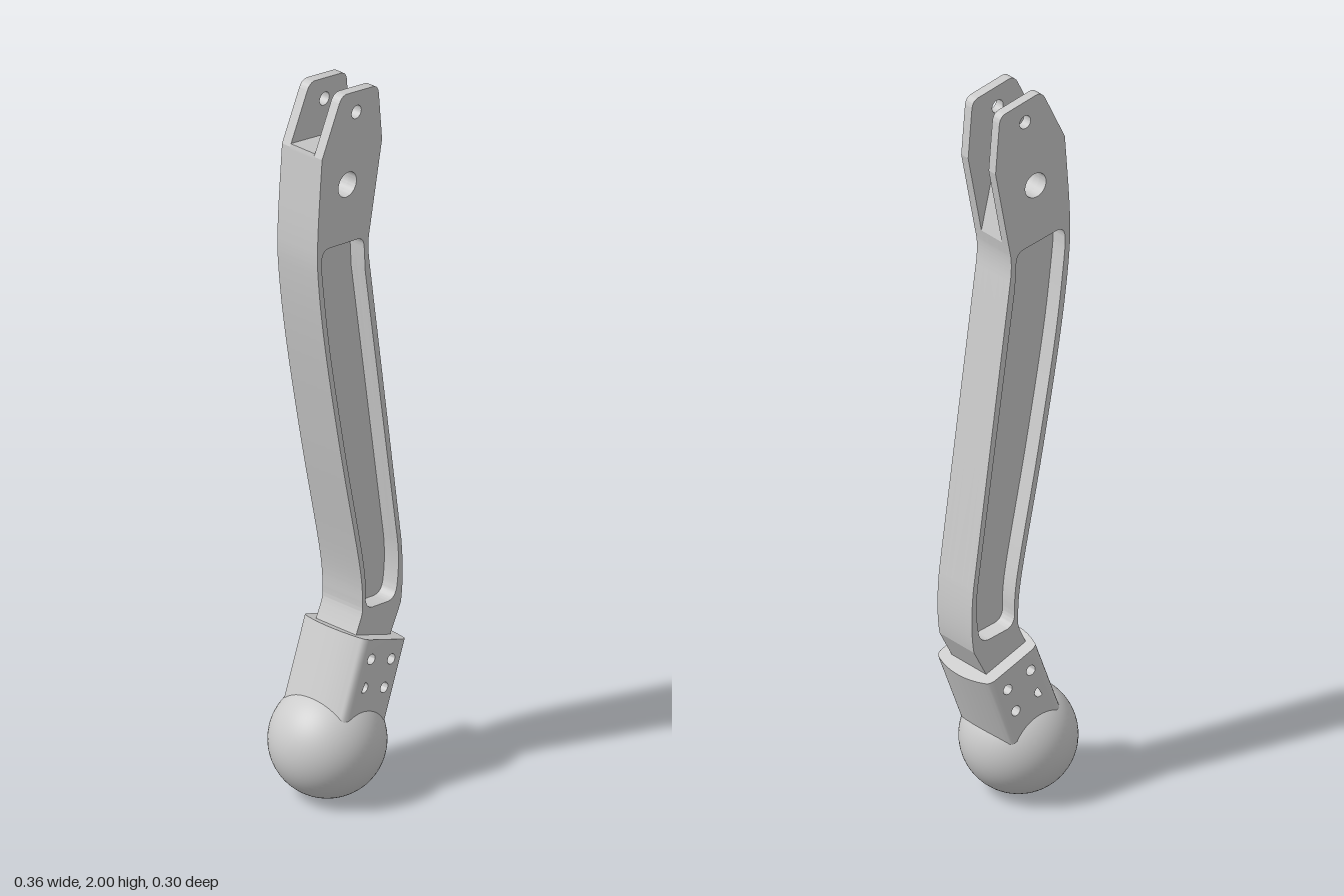
import * as THREE from 'three';
import { toCreasedNormals } from 'three/addons/utils/BufferGeometryUtils.js';

const material = new THREE.MeshStandardMaterial({ color: 0xcccccc });
const pts = (list) => list.map(([x, y]) => new THREE.Vector2(x, y));

function addMesh(parent, name, geometry) {
  const mesh = new THREE.Mesh(geometry, material);
  mesh.name = name;
  parent.add(mesh);
  return mesh;
}

// Holes run counter-clockwise so that their walls face inwards
function circleHole(x, y, r) {
  const path = new THREE.Path();
  path.absarc(x, y, r, 0, Math.PI * 2, false);
  return path;
}

// Side profile of the arm; the slotted version stops at the floor of the fork
function armShape(slotted) {
  const s = new THREE.Shape();
  s.moveTo(-0.007, 0.434);
  s.lineTo(0.022, 0.495);
  s.splineThru(pts([[0.027, 0.53], [0.015, 0.65], [-0.053, 0.98], [-0.11, 1.29],
    [-0.138, 1.5], [-0.141, 1.63], [-0.125, 1.85]]));
  if (slotted) {
    s.lineTo(-0.123, 1.858);
    s.lineTo(0, 1.835);
    s.lineTo(0.057, 1.6);
  } else {
    s.lineTo(-0.062, 1.98);
    s.quadraticCurveTo(-0.052, 2.002, -0.032, 2);
    s.lineTo(0.067, 1.982);
    s.quadraticCurveTo(0.086, 1.978, 0.088, 1.955);
    s.lineTo(0.1, 1.82);
    s.lineTo(0.057, 1.6);
  }
  s.lineTo(0.051, 1.57);
  s.quadraticCurveTo(0.046, 1.535, 0.053, 1.49);
  s.lineTo(0.172, 0.66);
  s.quadraticCurveTo(0.183, 0.55, 0.17, 0.48);
  s.lineTo(0.118, 0.381);
  s.closePath();
  s.holes.push(circleHole(-0.03, 1.743, 0.034));
  if (!slotted) s.holes.push(circleHole(0.004, 1.935, 0.018));
  return s;
}

// Long rounded recess in each face of the arm
function pocketHole() {
  const p = new THREE.Path();
  p.moveTo(-0.1, 1.59);
  p.lineTo(0.01, 1.573);
  p.quadraticCurveTo(0.032, 1.568, 0.033, 1.54);
  p.lineTo(0.037, 1.47);
  p.lineTo(0.158, 0.66);
  p.quadraticCurveTo(0.166, 0.59, 0.155, 0.53);
  p.quadraticCurveTo(0.149, 0.5, 0.12, 0.502);
  p.lineTo(0.065, 0.509);
  p.quadraticCurveTo(0.042, 0.512, 0.038, 0.54);
  p.splineThru(pts([[0.03, 0.65], [-0.037, 0.98], [-0.094, 1.29], [-0.122, 1.5], [-0.126, 1.56]]));
  p.quadraticCurveTo(-0.125, 1.592, -0.1, 1.59);
  return new THREE.Path(p.getPoints(12).reverse());
}

// One layer of the arm between two depths
function armLayer(z0, z1, slotted, pocketed) {
  const shape = armShape(slotted);
  if (pocketed) shape.holes.push(pocketHole());
  const geometry = new THREE.ExtrudeGeometry(shape, { depth: z1 - z0, bevelEnabled: false, curveSegments: 16 });
  geometry.translate(0, 0, z0);
  return toCreasedNormals(geometry, 0.25);
}

// Socket block: drilled flat faces front and back, sides bulging by an arc with rounded corners
function socketGeometry() {
  const half = 0.105, wide = 0.1025, R = 0.256, fillet = 0.012;
  const s = new THREE.Shape(pts([[-wide, -0.25], [wide, -0.25], [wide, 0], [-wide, 0]]));
  for (const x of [-0.04, 0.04])
    for (const y of [-0.052, -0.127]) s.holes.push(circleHole(x, y, 0.014));
  const geometry = new THREE.ExtrudeGeometry(s, { depth: half * 2, steps: 42, bevelEnabled: false, curveSegments: 12 });
  geometry.translate(0, 0, -half);
  const p = geometry.attributes.position;
  for (let i = 0; i < p.count; i++) {
    const x = p.getX(i), z = p.getZ(i);
    if (Math.abs(x) < 0.1) continue;
    const t = THREE.MathUtils.clamp((Math.abs(z) - half + fillet) / fillet, 0, 1);
    const corner = fillet * (1 - Math.sqrt(1 - t * t));
    p.setX(i, Math.sign(x) * (wide - R + Math.sqrt(R * R - z * z) - corner));
  }
  return toCreasedNormals(geometry, 0.6);
}

export function createModel() {
  const model = new THREE.Group();
  model.name = 'leverArm';

  // Arm: central web, pocket walls and the two outer cheeks that form the fork
  const arm = new THREE.Group();
  arm.name = 'arm';
  model.add(arm);
  addMesh(arm, 'web', armLayer(-0.02, 0.02, true, false));
  addMesh(arm, 'frontPocketWall', armLayer(0.02, 0.04, true, true));
  addMesh(arm, 'backPocketWall', armLayer(-0.04, -0.02, true, true));
  addMesh(arm, 'frontCheek', armLayer(0.04, 0.067, false, true));
  addMesh(arm, 'backCheek', armLayer(-0.067, -0.04, false, true));

  // Tilted socket joining the arm to the ball
  const socket = addMesh(model, 'socket', socketGeometry());
  socket.position.set(0.073, 0.427, 0);
  socket.rotation.z = -0.363;

  // Ball foot
  const ball = addMesh(model, 'ball', new THREE.SphereGeometry(0.15, 64, 40));
  ball.position.set(-0.03, 0.15, 0);

  return model;
}
